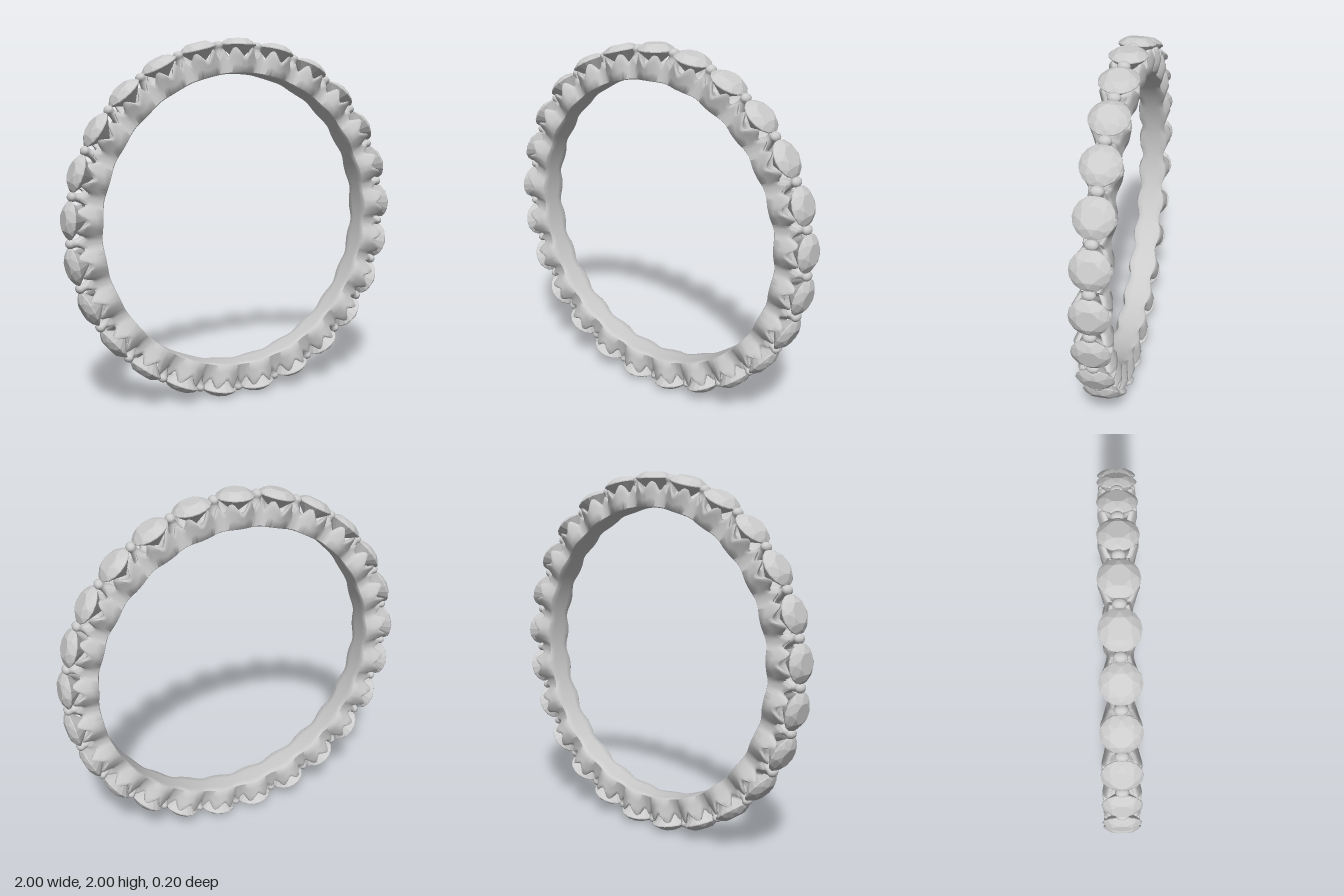
import * as THREE from 'three';
import { ConvexGeometry } from 'three/addons/geometries/ConvexGeometry.js';
import { toCreasedNormals } from 'three/addons/utils/BufferGeometryUtils.js';

const COUNT = 25;                       // stones around the ring
const PITCH = (Math.PI * 2) / COUNT;
const STEPS = 24;                       // band sections per stone
const mix = THREE.MathUtils.lerp;

const metal = new THREE.MeshStandardMaterial({ color: 0xcccccc });
const gem = new THREE.MeshStandardMaterial({ color: 0xcccccc, flatShading: true });

// Smooth interpolation through [position, value] keys
function keyed(keys, t) {
  for (let i = 1; i < keys.length; i++) {
    const [a, va] = keys[i - 1], [b, vb] = keys[i];
    if (t <= b) return mix(va, vb, THREE.MathUtils.smoothstep(t, a, b));
  }
  return keys[keys.length - 1][1];
}

// Radii: t = 0 at a stone's centre, 1 at a prong
const rimKeys = [[0, 0.898], [0.45, 0.95], [0.76, 0.898], [1, 0.935]];
const floorKeys = [[0, 0.865], [0.5, 0.872], [1, 0.935]];

// Half of the band's cross-section, from the bore's middle to the seat's middle
function halfSection(t) {
  const rim = keyed(rimKeys, t), floor = keyed(floorKeys, t);
  const s = THREE.MathUtils.smoothstep(t, 0.1, 1);
  const inner = mix(0.084, 0.064, s), outer = mix(0.098, 0.05, s);
  return [
    [0, 0.81], [inner * 0.5, 0.81], [inner - 0.006, 0.811], [inner, 0.816],
    [mix(inner, outer, 0.45), mix(0.816, rim, 0.35)],
    [mix(inner, outer, 0.85), mix(0.816, rim, 0.7)],
    [outer, rim - 0.012], [outer - 0.006, rim],
    [outer - 0.02, rim - 0.004],
    [outer * 0.55, mix(rim, floor, 0.65)], [0, floor],
  ];
}

// Scalloped band swept around the ring
function bandGeometry() {
  const pos = [], index = [], rings = COUNT * STEPS;
  let n = 0;
  for (let i = 0; i < rings; i++) {
    const phase = (i % STEPS) / STEPS;
    const half = halfSection(1 - Math.abs(1 - 2 * phase));
    const loop = [...half, ...half.slice(1, -1).reverse().map(([z, r]) => [-z, r])];
    const a = (i / STEPS) * PITCH;
    n = loop.length;
    for (const [z, r] of loop) pos.push(r * Math.sin(a), r * Math.cos(a), z);
  }
  for (let i = 0; i < rings; i++) {
    for (let j = 0; j < n; j++) {
      const k = (j + 1) % n, i2 = (i + 1) % rings;
      const a = i * n + j, b = i * n + k, c = i2 * n + k, d = i2 * n + j;
      index.push(a, c, b, a, d, c);
    }
  }
  const g = new THREE.BufferGeometry();
  g.setAttribute('position', new THREE.Float32BufferAttribute(pos, 3));
  g.setIndex(index);
  return toCreasedNormals(g, 0.9);
}

// Brilliant-cut stone, table facing +y
function stoneGeometry() {
  const pts = [new THREE.Vector3(0, 0.875, 0)];
  const ring = (n, r, y, turn) => {
    for (let i = 0; i < n; i++) {
      const a = ((i + turn) / n) * Math.PI * 2;
      pts.push(new THREE.Vector3(r * Math.cos(a), y, r * Math.sin(a)));
    }
  };
  ring(8, 0.056, 0.999, 0.5);
  ring(8, 0.083, 0.985, 0);
  ring(16, 0.102, 0.967, 0);
  ring(16, 0.102, 0.962, 0);
  return new ConvexGeometry(pts);
}

// Flared prong with a rounded head, along +y
function prongGeometry() {
  const profile = [
    [0.05, 0.875], [0.038, 0.9], [0.029, 0.925], [0.025, 0.942], [0.027, 0.952],
    [0.031, 0.961], [0.031, 0.97], [0.025, 0.98], [0.014, 0.987], [0, 0.989],
  ].map(([r, y]) => new THREE.Vector2(r, y));
  const g = new THREE.LatheGeometry(profile, 20);
  g.scale(0.85, 1, 1.1);
  return g;
}

export function createModel() {
  const ring = new THREE.Group();
  ring.name = 'stoneSetRing';
  const add = (geometry, material, name, angle) => {
    const mesh = new THREE.Mesh(geometry, material);
    mesh.name = name;
    mesh.rotation.z = -angle;
    mesh.position.y = 1;
    ring.add(mesh);
  };
  add(bandGeometry(), metal, 'band', 0);

  const stone = stoneGeometry(), prong = prongGeometry();
  for (let i = 0; i < COUNT; i++) {
    add(stone, gem, 'stone', i * PITCH);
    add(prong, metal, 'prong', (i + 0.5) * PITCH);
  }
  return ring;
}
